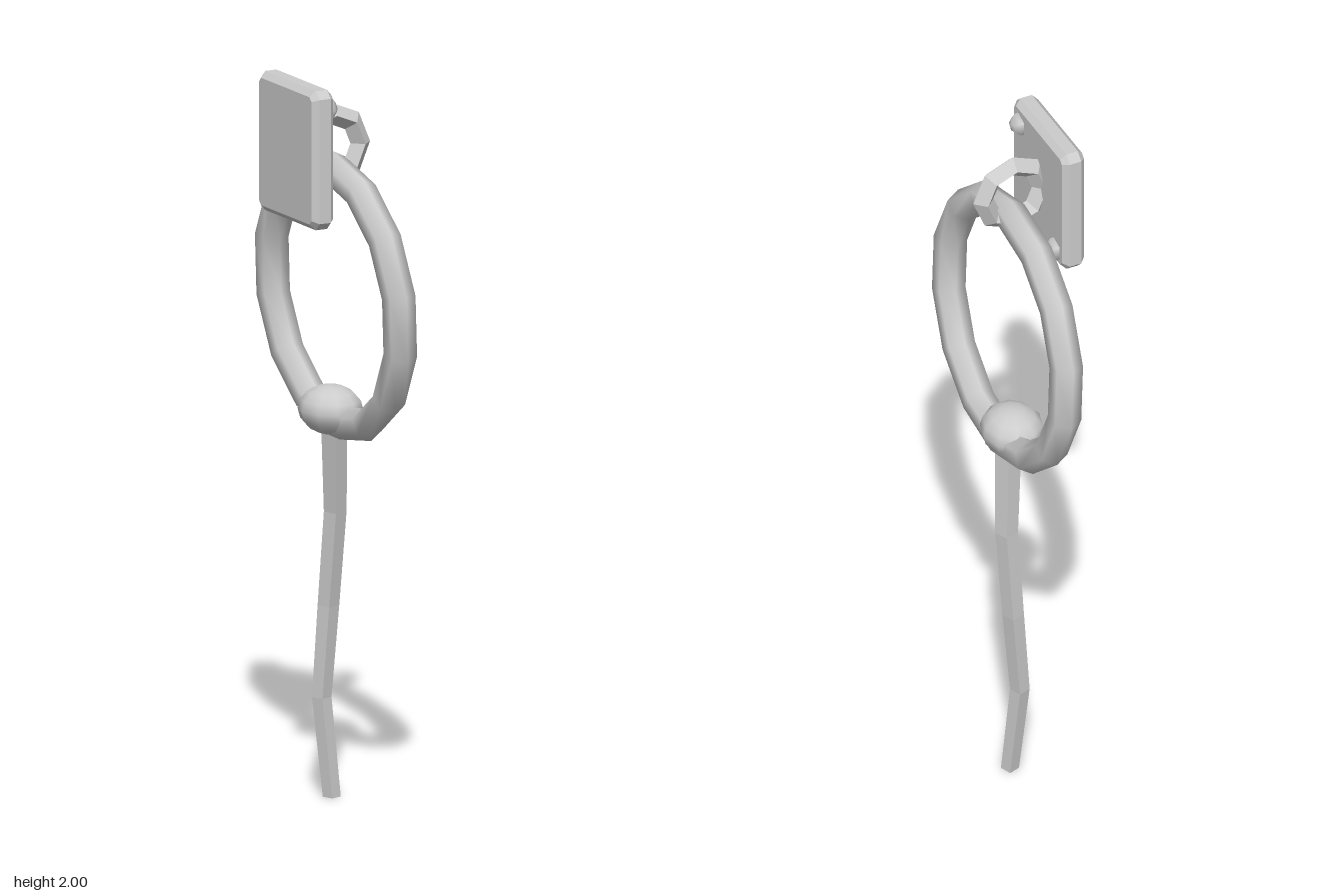
import * as THREE from 'three';

const metal = new THREE.MeshStandardMaterial({ color: 0xcccccc });
metal.name = 'light grey metal';

// Faceted normals for hard-edged parts
function faceted(geometry) {
  const g = geometry.toNonIndexed();
  g.computeVertexNormals();
  return g;
}

// Chamfered wall plate lying in the y-z plane
function plateGeometry(w, h, d, c) {
  const a = w / 2 - c, b = h / 2 - c, k = c * 0.7;
  const shape = new THREE.Shape([
    [-a + k, -b], [a - k, -b], [a, -b + k], [a, b - k],
    [a - k, b], [-a + k, b], [-a, b - k], [-a, -b + k],
  ].map(([x, y]) => new THREE.Vector2(x, y)));
  return new THREE.ExtrudeGeometry(shape, {
    depth: d - 2 * c, bevelEnabled: true, bevelThickness: c, bevelSize: c, bevelSegments: 1,
  }).center().rotateY(-Math.PI / 2);
}

// Square strap whose rows follow a gently bent path: [x, y, z, width]
function strapGeometry(path, twist) {
  const n = path.length - 1;
  const g = new THREE.BoxGeometry(1, 1, 1, 1, n, 1).rotateY(twist);
  const p = g.attributes.position;
  for (let i = 0; i < p.count; i++) {
    const [x, y, z, w] = path[Math.round((0.5 - p.getY(i)) * n)];
    p.setXYZ(i, x + p.getX(i) * w, y, z + p.getZ(i) * w);
  }
  return faceted(g);
}

export function createModel() {
  const model = new THREE.Group();
  const add = (name, geometry, x = 0, y = 0, z = 0) => {
    const mesh = new THREE.Mesh(geometry, metal);
    mesh.name = name;
    mesh.position.set(x, y, z);
    model.add(mesh);
    return mesh;
  };

  add('wallPlate', plateGeometry(0.32, 0.38, 0.066, 0.016), -0.098, 1.81, 0.03);

  // Five-sided domed rivets in opposite corners
  const dome = [[0.033, -0.01], [0.032, 0.012], [0.018, 0.025], [0, 0.029]]
    .map(([r, h]) => new THREE.Vector2(r, h));
  const rivet = new THREE.LatheGeometry(dome, 5).rotateZ(-Math.PI / 2);
  add('upperRivet', rivet, -0.067, 1.94, 0.14);
  add('lowerRivet', rivet, -0.067, 1.67, -0.075);

  // Small eye ring with a diamond cross-section
  add('eyeRing', faceted(new THREE.TorusGeometry(0.087, 0.03, 4, 8)), 0.01, 1.81, 0.03);

  // Large hanging ring, leaning slightly
  const ring = new THREE.TorusGeometry(0.357, 0.045, 6, 14)
    .rotateZ(0.176).rotateY(-Math.PI / 2).rotateZ(0.055);
  add('hangingRing', ring, 0.04, 1.392, 0);

  // Knot around the bottom of the ring
  const knot = add('knot', new THREE.SphereGeometry(1, 10, 8), 0.04, 1.075, -0.03);
  knot.scale.set(0.086, 0.067, 0.095);

  add('strap', strapGeometry([
    [0.062, 1.05, -0.05, 0.05],
    [0.083, 0.78, -0.082, 0.043],
    [0.075, 0.52, -0.105, 0.041],
    [0.058, 0.27, -0.111, 0.037],
    [0.077, 0, -0.09, 0.034],
  ], 0.35));

  return model;
}
